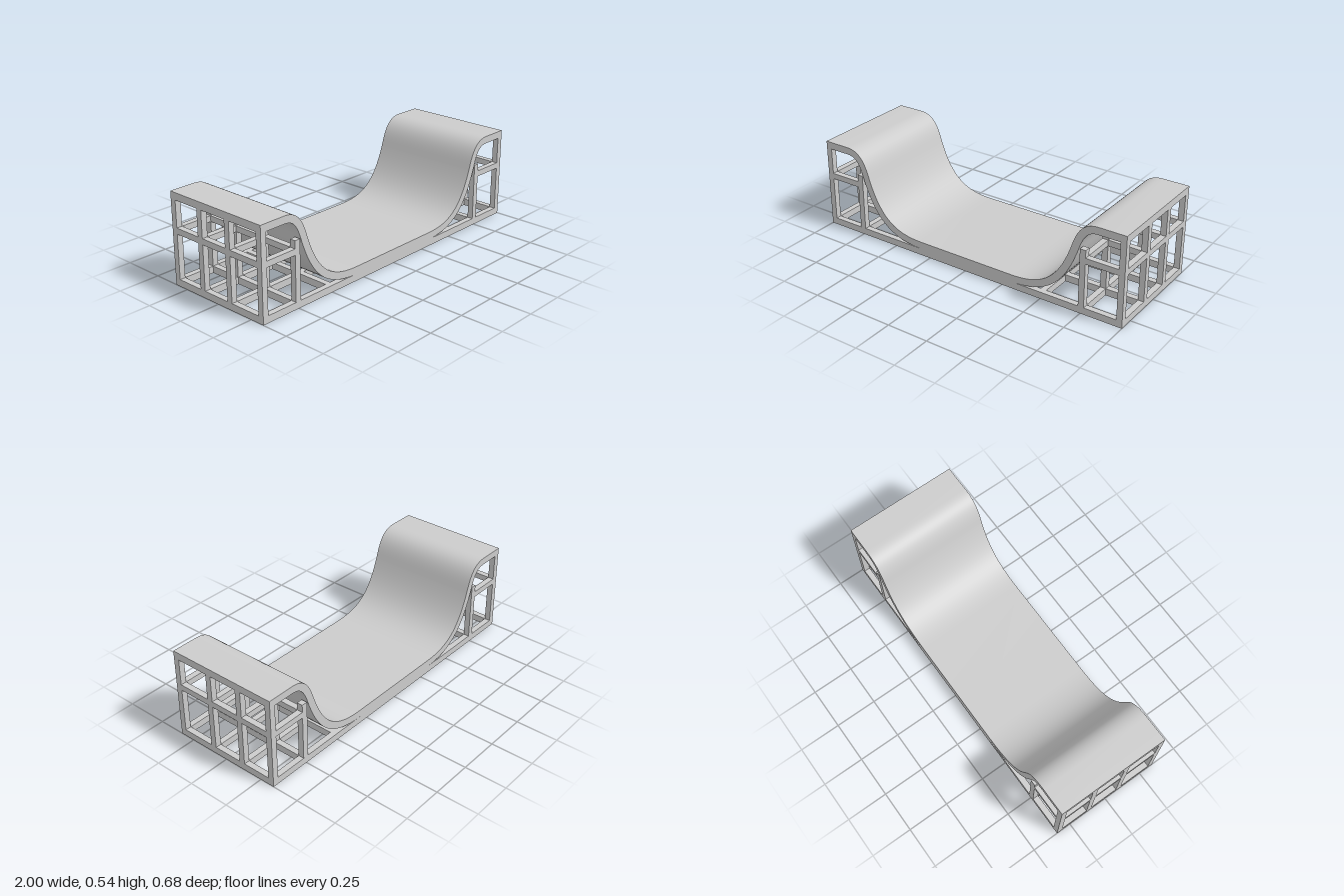
import * as THREE from 'three';
import { toCreasedNormals } from 'three/addons/utils/BufferGeometryUtils.js';

const HALF_DEPTH = 0.34;
const DECK = 0.043;   // deck thickness
const BEAM = 0.035;   // beam width
const BASE = 0.041;   // base rail height
const MID = 0.305;    // underside of the middle rails
const FRAME_Z = [0.3225, 0.091, -0.118, -0.3225];

const material = new THREE.MeshStandardMaterial({ color: 0xcccccc });

// Box given by its minimum and maximum corners
function beam(name, x0, x1, y0, y1, z0, z1) {
  const mesh = new THREE.Mesh(new THREE.BoxGeometry(x1 - x0, y1 - y0, z1 - z0), material);
  mesh.position.set((x0 + x1) / 2, (y0 + y1) / 2, (z0 + z1) / 2);
  mesh.name = name;
  return mesh;
}

// Riding surface: half profile offset by the thickness, mirrored and extruded
function createDeck() {
  const v = (x, y) => new THREE.Vector2(x, y);
  const path = new THREE.CurvePath();
  path.add(new THREE.LineCurve(v(-1, 0.54), v(-0.84, 0.54)));
  path.add(new THREE.CubicBezierCurve(v(-0.84, 0.54), v(-0.72, 0.54), v(-0.7, 0.43), v(-0.675, 0.36)));
  path.add(new THREE.CubicBezierCurve(v(-0.675, 0.36), v(-0.6, 0.15), v(-0.5, 0.084), v(-0.31, 0.084)));
  const top = [], under = [];
  path.curves.forEach((curve, c) => {
    const steps = c === 0 ? 1 : 16;
    for (let i = c === 0 ? 0 : 1; i <= steps; i++) {
      const p = curve.getPoint(i / steps), t = curve.getTangent(i / steps);
      top.push(p);
      under.push(v(p.x + t.y * DECK, p.y - t.x * DECK));
    }
  });
  const mirrored = (points) => points.map((p) => v(-p.x, p.y)).reverse();
  const outline = [...top, ...mirrored(top), ...under, ...mirrored(under)];
  // Order the underside from the +x end back to the -x end
  const n = top.length;
  const lower = outline.slice(2 * n).reverse();
  const shape = new THREE.Shape([...outline.slice(0, 2 * n), ...lower]);
  const geometry = new THREE.ExtrudeGeometry(shape, { depth: 2 * HALF_DEPTH, bevelEnabled: false });
  geometry.translate(0, 0, -HALF_DEPTH);
  const mesh = new THREE.Mesh(toCreasedNormals(geometry, 0.6), material);
  mesh.name = 'rampDeck';
  return mesh;
}

// Base grid: long rails with cross beams
function createBase() {
  const base = new THREE.Group();
  base.name = 'baseFrame';
  for (const z of FRAME_Z) {
    base.add(beam('baseRail', -1, 1, 0, BASE, z - BEAM / 2, z + BEAM / 2));
  }
  for (const s of [-1, 1]) {
    for (const x of [0.9825, 0.7525, 0.5]) {
      base.add(beam('baseCrossBeam', s * x - BEAM / 2, s * x + BEAM / 2, 0, BASE, -HALF_DEPTH, HALF_DEPTH));
    }
  }
  return base;
}

// Support tower under one raised end (s = -1 or 1)
function createTower(s) {
  const tower = new THREE.Group();
  tower.name = s > 0 ? 'leftTower' : 'rightTower';
  const rows = [{ name: 'outer', x: 0.9825, top: 0.5 }, { name: 'inner', x: 0.7525, top: 0.385 }];
  for (const { name, x, top } of rows) {
    const x0 = s * x - BEAM / 2, x1 = s * x + BEAM / 2;
    for (const z of FRAME_Z) {
      tower.add(beam(name + 'Post', x0, x1, 0, top, z - BEAM / 2, z + BEAM / 2));
    }
    tower.add(beam(name + 'CrossBeam', x0, x1, MID, MID + BEAM, -HALF_DEPTH, HALF_DEPTH));
  }
  // Short rails joining the outer and inner posts
  for (const z of FRAME_Z) {
    const a = s * 0.9825, b = s * 0.7525;
    tower.add(beam('middleRail', Math.min(a, b), Math.max(a, b), MID, MID + BEAM, z - BEAM / 2, z + BEAM / 2));
  }
  return tower;
}

export function createModel() {
  const model = new THREE.Group();
  model.name = 'halfPipeRamp';
  model.add(createDeck(), createBase(), createTower(-1), createTower(1));
  return model;
}
